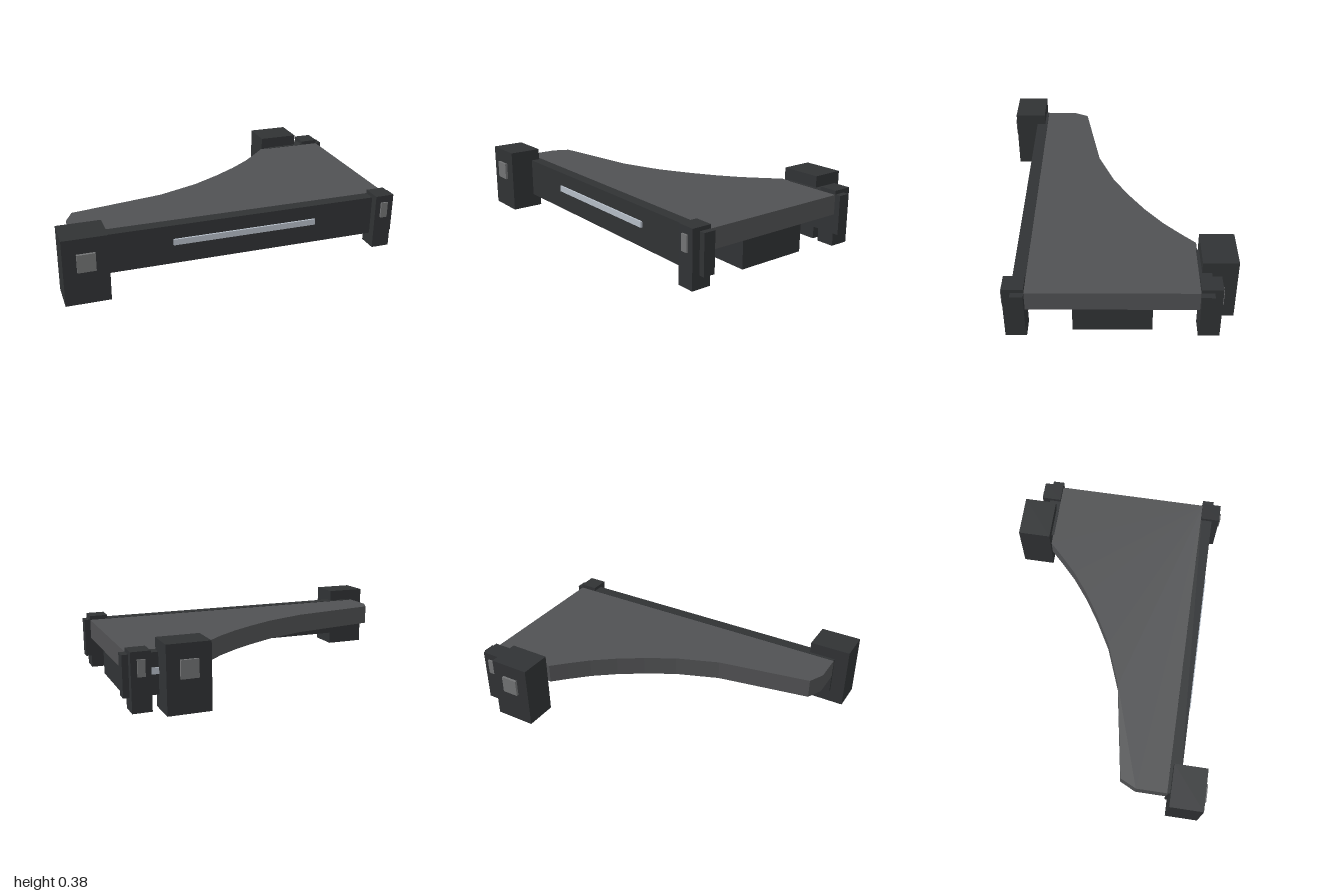
import * as THREE from 'three';

const material = (color) => new THREE.MeshStandardMaterial({ color, flatShading: true });

export function createModel() {
  const model = new THREE.Group();
  const dark = material(0x303234);
  const deckGrey = material(0x505153);
  const plateGrey = material(0x727374);
  const stripGrey = material(0xb4bcc6);

  // Box given by its limits along each axis
  const box = (name, mat, [x0, x1], [y0, y1], [z0, z1]) => {
    const mesh = new THREE.Mesh(new THREE.BoxGeometry(x1 - x0, y1 - y0, z1 - z0), mat);
    mesh.position.set((x0 + x1) / 2, (y0 + y1) / 2, (z0 + z1) / 2);
    mesh.name = name;
    model.add(mesh);
  };
  // Limits mirrored to the front (s = 1) or back (s = -1)
  const side = (s, a, b) => (s > 0 ? [a, b] : [-b, -a]);

  // Deck with a curved back edge; outline as x, z
  const outline = [
    [-0.915, 0.465], [-0.915, 0.28], [-0.87, 0.185], [-0.32, 0.09], [-0.07, -0.005],
    [0.1, -0.1], [0.24, -0.19], [0.37, -0.29], [0.47, -0.385], [0.55, -0.466],
    [0.965, -0.466], [0.965, 0.465],
  ];
  const shape = new THREE.Shape(outline.map(([x, z]) => new THREE.Vector2(x, -z)));
  const deckGeometry = new THREE.ExtrudeGeometry(shape, { depth: 0.115, bevelEnabled: false });
  deckGeometry.rotateX(-Math.PI / 2);
  const deck = new THREE.Mesh(deckGeometry, deckGrey);
  deck.position.y = 0.195;
  deck.name = 'deck';
  model.add(deck);

  // Front and back assemblies: beam, light strip, wide foot, corner post
  const ends = [
    { s: 1, label: 'front', beamStart: -0.915, foot: -1, strip: [-0.37, 0.485] },
    { s: -1, label: 'back', beamStart: 0.61, foot: 0.56, strip: [0.72, 0.89] },
  ];
  for (const { s, label, beamStart, foot, strip } of ends) {
    box(`${label}Beam`, dark, [beamStart, 1], [0.08, 0.312], side(s, 0.46, 0.53));
    box(`${label}Strip`, stripGrey, strip, [0.195, 0.23], side(s, 0.52, 0.541));
    box(`${label}Foot`, dark, [foot, foot + 0.246], [0, 0.38], side(s, 0.477, 0.672));
    box(`${label}FootPlate`, plateGrey, [foot + 0.073, foot + 0.173], [0.193, 0.295], side(s, 0.66, 0.687));
    box(`${label}Post`, dark, [0.857, 0.966], [0.005, 0.334], side(s, 0.46, 0.576));
    box(`${label}PostPlate`, plateGrey, [0.89, 0.932], [0.2, 0.293], side(s, 0.56, 0.586));
  }

  // Box slung beneath the deck
  box('underBox', dark, [0.68, 0.94], [0.022, 0.186], [-0.215, 0.215]);

  return model;
}
